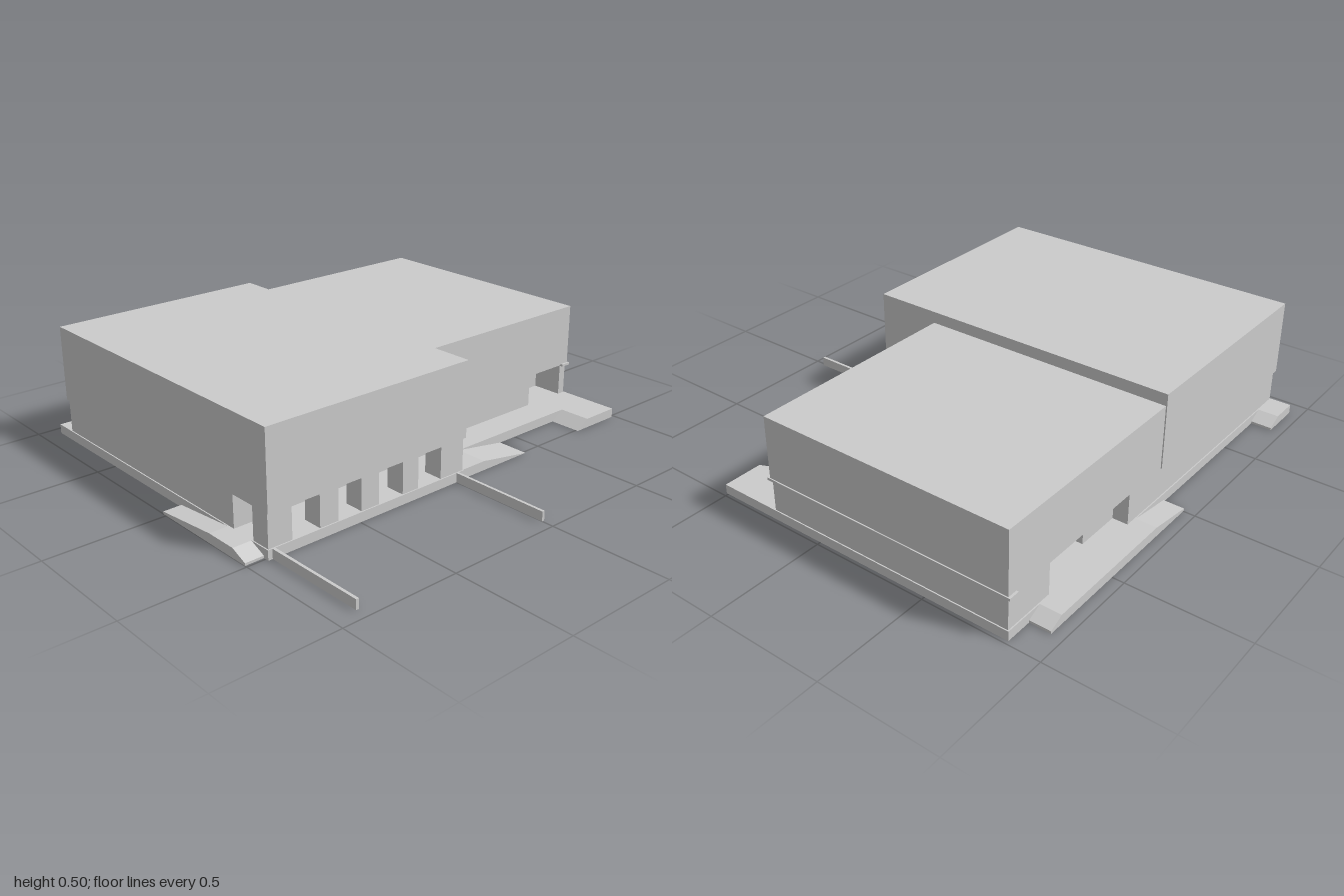
import * as THREE from 'three';

export function createModel() {
  const model = new THREE.Group();
  const grey = new THREE.MeshStandardMaterial({ color: 0xcccccc, flatShading: true });

  function add(name, geometry) {
    const mesh = new THREE.Mesh(geometry, grey);
    mesh.name = name;
    model.add(mesh);
    return mesh;
  }

  // Box given by its extents on each axis
  function box(name, x0, x1, y0, y1, z0, z1) {
    const g = new THREE.BoxGeometry(x1 - x0, y1 - y0, z1 - z0);
    return add(name, g.translate((x0 + x1) / 2, (y0 + y1) / 2, (z0 + z1) / 2));
  }

  // Outline in plan, raised from y0 to y1
  function plan(name, points, y0, y1) {
    const shape = new THREE.Shape(points.map(([x, z]) => new THREE.Vector2(x, -z)));
    const g = new THREE.ExtrudeGeometry(shape, { depth: y1 - y0, bevelEnabled: false });
    return add(name, g.rotateX(-Math.PI / 2).translate(0, y0, 0));
  }

  // Side profile along x, extruded between z0 and z1
  function rampX(name, points, z0, z1) {
    const shape = new THREE.Shape(points.map(([x, y]) => new THREE.Vector2(x, y)));
    const g = new THREE.ExtrudeGeometry(shape, { depth: z1 - z0, bevelEnabled: false });
    return add(name, g.translate(0, 0, z0));
  }

  // Side profile along z, extruded between x0 and x1
  function rampZ(name, points, x0, x1) {
    const shape = new THREE.Shape(points.map(([z, y]) => new THREE.Vector2(-z, y)));
    const g = new THREE.ExtrudeGeometry(shape, { depth: x1 - x0, bevelEnabled: false });
    return add(name, g.rotateY(Math.PI / 2).translate(x0, 0, 0));
  }

  const FLOOR = 0.04, CEILING = 0.18;

  // Ground slab, with its front edge stepped back beside the entrance ramps
  plan('groundSlab', [
    [-0.92, -0.86], [0.985, -0.86], [0.985, 0.37], [0.04, 0.37], [0.04, 0.515], [-0.92, 0.515],
  ], 0, FLOOR);

  // Entrance ramps at the front
  rampX('frontLongRamp', [[0.04, 0], [0.41, 0], [0.16, FLOOR], [0.04, FLOOR]], 0.37, 0.51);
  rampX('frontShortRamp', [[0.75, 0], [0.985, 0], [0.985, FLOOR], [0.81, FLOOR]], 0.37, 0.51);

  // Pavements with ramped ends at the back and side
  rampX('backPavement', [[-0.005, 0], [0.87, 0], [0.87, 0.01], [0.81, FLOOR], [0.2, FLOOR], [-0.005, 0.01]], -0.95, -0.86);
  rampX('backCornerPavement', [[-0.92, 0], [-0.74, 0], [-0.74, 0.01], [-0.8, FLOOR], [-0.92, FLOOR]], -0.95, -0.86);
  rampZ('sidePavement', [[-0.02, 0], [0.49, 0], [0.49, 0.01], [0.42, FLOOR], [0.28, FLOOR], [-0.02, 0.01]], -1, -0.92);

  // Low kerbs running out from the front
  for (const x of [-0.895, 0.005]) box('kerb', x - 0.006, x + 0.006, 0, FLOOR, 0.515, 0.95);

  // Lower storey walls, recessed at the doorways
  plan('lowerStorey', [
    [-0.915, -0.855], [0.25, -0.855], [0.25, -0.79], [0.45, -0.79], [0.45, -0.7], [0.75, -0.7],
    [0.75, -0.855], [0.98, -0.855], [0.98, 0.235], [0.945, 0.235], [0.945, 0.1], [0.74, 0.1],
    [0.74, 0.235], [0.035, 0.235], [0.035, 0.31], [-0.915, 0.31],
  ], FLOOR, CEILING);
  box('sideLedge', 0.945, 0.992, 0.175, 0.185, -0.87, 0.25);

  // Row of square columns carrying the tall block
  const columns = [[-0.915, -0.81], [-0.685, -0.6], [-0.49, -0.405], [-0.285, -0.205], [-0.085, 0.035]];
  columns.forEach(([x0, x1]) => box('frontColumn', x0, x1, FLOOR, CEILING, 0.425, 0.51));

  // Upper storeys
  box('tallUpperBlock', -0.92, 0.04, CEILING, 0.5, -0.865, 0.52);
  box('lowUpperBlock', 0.04, 0.987, CEILING, 0.45, -0.86, 0.24);

  return model;
}
